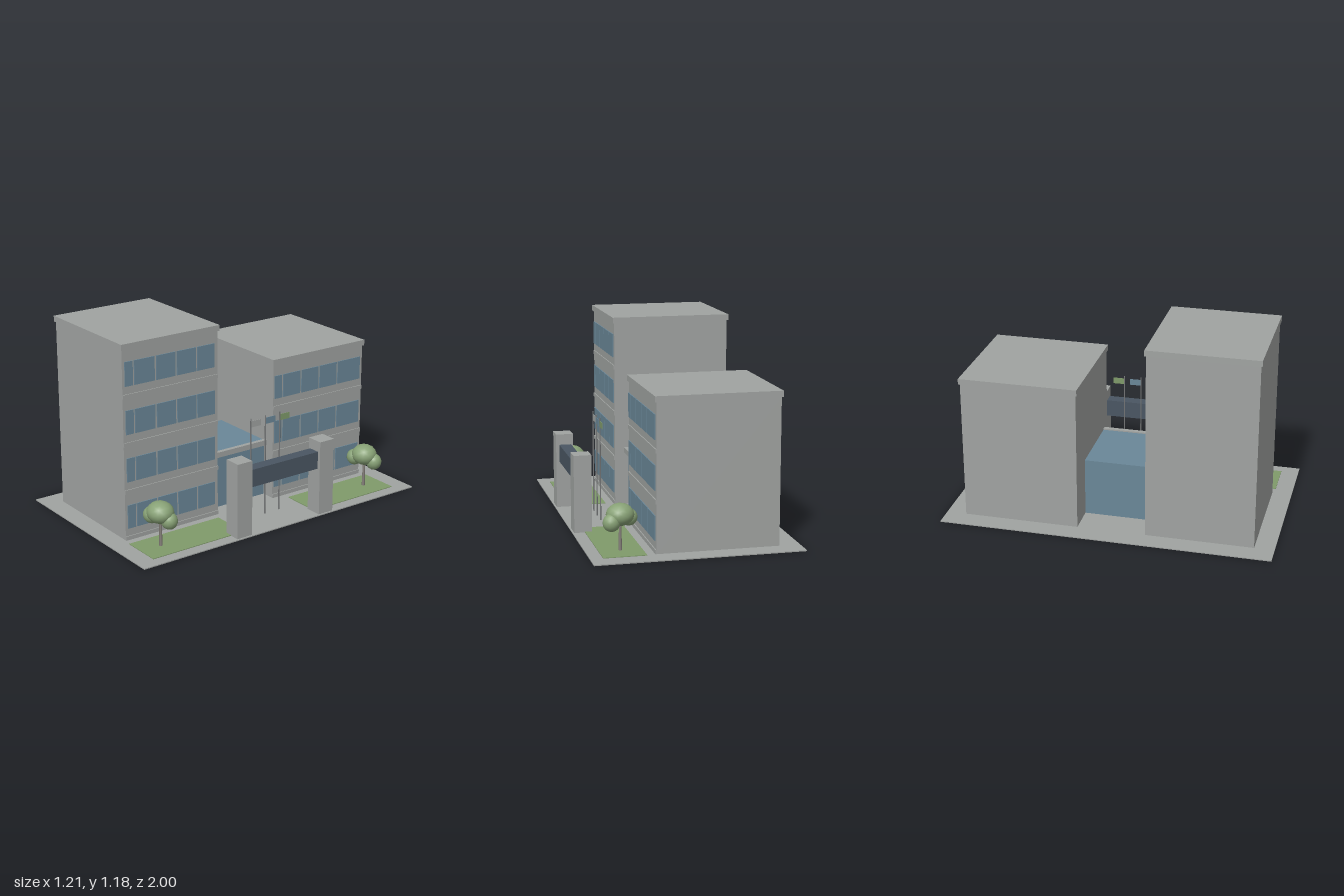
import * as THREE from 'three';

const mat = (name, color, side = THREE.FrontSide) => {
  const m = new THREE.MeshStandardMaterial({ color, side });
  m.name = name;
  return m;
};

export function createModel() {
  const root = new THREE.Group();
  root.name = 'officeComplex';
  const concrete = mat('concrete', 0xa0a3a1, THREE.DoubleSide);
  const glass = mat('glass', 0x6a8798, THREE.DoubleSide);
  const slate = mat('slate', 0x4a5662);
  const grass = mat('grass', 0x7f9a6a, THREE.DoubleSide);
  const foliage = mat('foliage', 0x88a276);
  const metal = mat('metal', 0x77797a);
  const bark = mat('bark', 0x85807a);

  const add = (parent, name, geometry, material) => {
    const mesh = new THREE.Mesh(geometry, material);
    mesh.name = name;
    parent.add(mesh);
    return mesh;
  };
  // Box given by its limits on each axis
  const box = (parent, name, material, x0, x1, y0, y1, z0, z1) => {
    const b = add(parent, name, new THREE.BoxGeometry(x1 - x0, y1 - y0, z1 - z0), material);
    b.position.set((x0 + x1) / 2, (y0 + y1) / 2, (z0 + z1) / 2);
    return b;
  };
  const group = (name) => {
    const g = new THREE.Group();
    g.name = name;
    root.add(g);
    return g;
  };

  box(root, 'groundSlab', concrete, -0.605, 0.605, 0, 0.006, -1, 1);

  // Office blocks: walls, roof cap, floor bands and window plates facing +x
  const block = (name, z0, z1, wallTop, floors, panes) => {
    const g = group(name);
    box(g, 'walls', concrete, -0.482, 0.23, 0.004, wallTop, z0, z1);
    box(g, 'roofCap', concrete, -0.491, 0.24, wallTop, wallTop + 0.035, z0 - 0.008, z1 + 0.008);
    for (let f = 0; f < floors; f++) {
      const y = f * 0.285;
      box(g, 'floorBand', concrete, 0.228, 0.236, y + 0.006, y + 0.03, z0, z1);
      for (const [a, b] of panes) {
        box(g, 'window', glass, 0.228, 0.236, y + 0.077, y + 0.22, a, b);
      }
    }
  };
  block('tallBlock', 0.23, 0.88, 1.145, 4,
    [[0.254, 0.375], [0.384, 0.515], [0.526, 0.655], [0.667, 0.802], [0.812, 0.864]]);
  block('shortBlock', -0.88, -0.182, 0.86, 3,
    [[-0.86, -0.682], [-0.671, -0.538], [-0.527, -0.396], [-0.385, -0.254], [-0.243, -0.19]]);

  // Glazed link between the blocks with its entrance canopy
  const link = group('glazedLink');
  box(link, 'linkHall', glass, -0.298, 0.145, 0.002, 0.36, -0.182, 0.23);
  box(link, 'canopyEdge', concrete, 0.145, 0.172, 0.335, 0.368, -0.182, 0.23);

  // Entrance gate
  const gate = group('gate');
  for (const s of [-1, 1]) {
    const p = box(gate, 'gatePillar', concrete, 0.49, 0.595, 0.004, 0.465, 0.25, 0.355);
    p.position.z *= s;
  }
  box(gate, 'gateBeam', slate, 0.502, 0.575, 0.293, 0.4, -0.25, 0.25);

  // Flagpoles
  const flags = group('flags');
  [concrete, glass, grass].forEach((m, i) => {
    const z = 0.107 * (1 - i);
    add(flags, 'flagpole', new THREE.CylinderGeometry(0.004, 0.004, 0.625, 8), metal)
      .position.set(0.39, 0.3165, z);
    box(flags, 'flag', m, 0.389, 0.392, 0.575, 0.613, z - 0.072, z - 0.002);
  });

  // Lawns
  for (const s of [-1, 1]) {
    const l = box(root, 'lawn', grass, 0.285, 0.533, 0.004, 0.01, 0.265, 0.893);
    l.position.z *= s;
  }

  // Trees: each crown blob is [x, y, z, radiusX, radiusY, radiusZ]
  const tree = (name, z, blobs) => {
    const g = group(name);
    g.position.set(0.41, 0, z);
    add(g, 'trunk', new THREE.CylinderGeometry(0.007, 0.01, 0.17, 8), bark).position.y = 0.09;
    for (const [x, y, dz, rx, ry, rz] of blobs) {
      const c = add(g, 'crown', new THREE.IcosahedronGeometry(1, 2), foliage);
      c.position.set(x, y, dz);
      c.scale.set(rx, ry, rz);
    }
  };
  tree('leftTree', 0.76, [
    [0, 0.215, 0, 0.085, 0.065, 0.078],
    [-0.05, 0.19, 0.025, 0.055, 0.05, 0.05],
    [0.052, 0.175, -0.025, 0.052, 0.052, 0.048],
  ]);
  tree('rightTree', -0.765, [
    [0, 0.215, 0, 0.08, 0.065, 0.077],
    [-0.055, 0.19, 0.03, 0.05, 0.05, 0.05],
    [0.055, 0.178, -0.03, 0.05, 0.052, 0.048],
  ]);
  return root;
}
